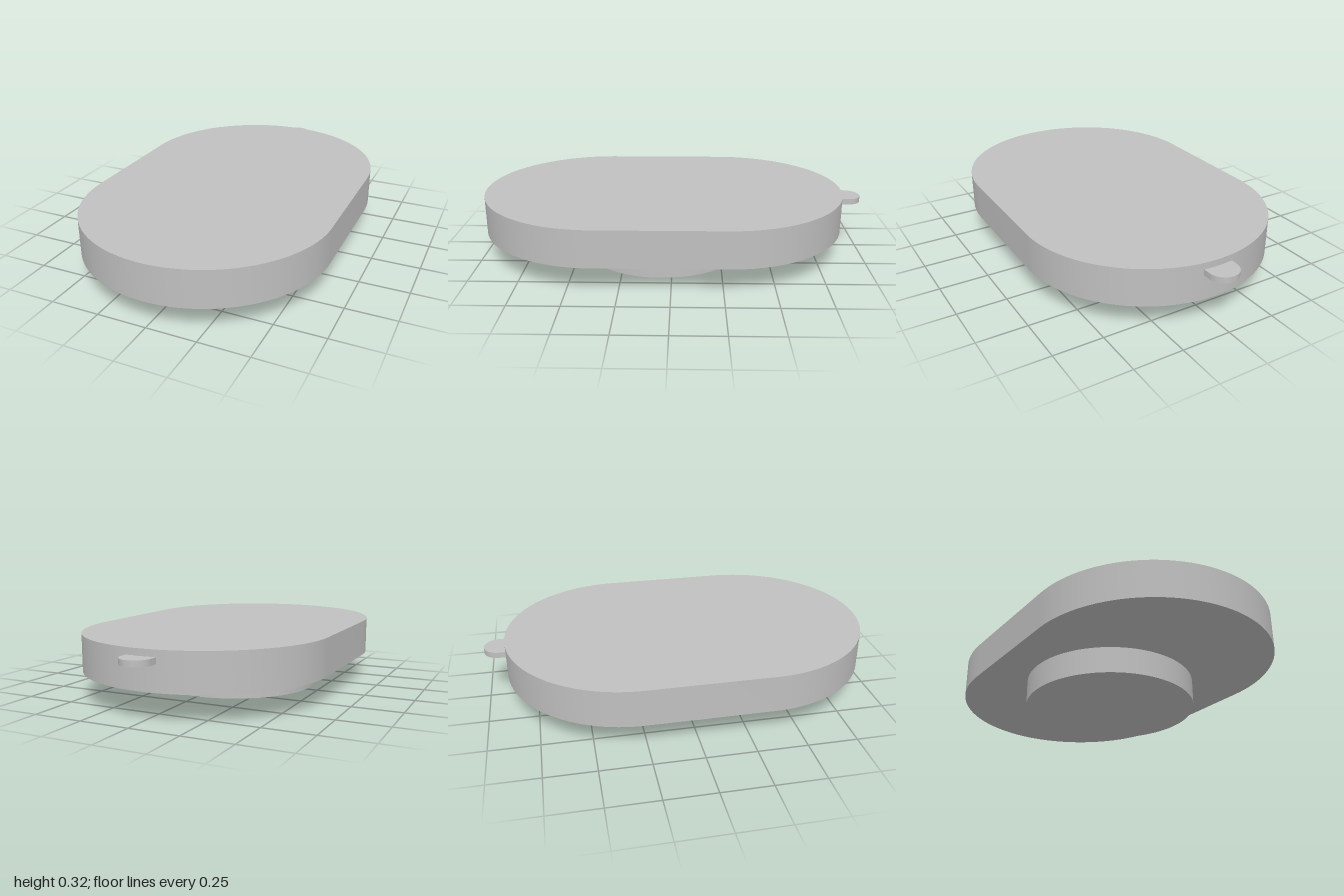
import * as THREE from 'three';
import { toCreasedNormals } from 'three/addons/utils/BufferGeometryUtils.js';

const grey = new THREE.MeshStandardMaterial({ color: 0xc0c0c0 });
grey.name = 'plain grey';

const CENTRE_Z = 0.0525;

// Upright slab with smooth round ends; the outline's +y points to the back (-z)
function slab(name, shape, y, height, z) {
  const extruded = new THREE.ExtrudeGeometry(shape, { depth: height, bevelEnabled: false, curveSegments: 48 });
  extruded.rotateX(-Math.PI / 2);
  const mesh = new THREE.Mesh(toCreasedNormals(extruded, 0.5), grey);
  mesh.name = name;
  mesh.position.set(0, y, z);
  return mesh;
}

// Outline with straight sides and two semicircular ends
function stadium(radius, half) {
  const s = new THREE.Shape();
  s.absarc(0, half, radius, 0, Math.PI, false);
  s.absarc(0, -half, radius, Math.PI, 2 * Math.PI, false);
  s.closePath();
  return s;
}

export function createModel() {
  const model = new THREE.Group();
  model.name = 'model';

  // Oblong main body
  model.add(slab('body', stadium(0.632, 0.3155), 0.135, 0.19, CENTRE_Z));

  // Round foot beneath the body
  const foot = new THREE.Mesh(new THREE.CylinderGeometry(0.442, 0.442, 0.135, 96), grey);
  foot.name = 'foot';
  foot.position.set(0, 0.0675, CENTRE_Z);
  model.add(foot);

  // Small rounded tab at the back, rooted inside the body
  const tab = new THREE.Shape();
  tab.moveTo(-0.076, -0.06);
  tab.lineTo(0.076, -0.06);
  tab.absarc(0, 0, 0.076, 0, Math.PI, false);
  tab.closePath();
  model.add(slab('tab', tab, 0.262, 0.03, -0.924));

  return model;
}
